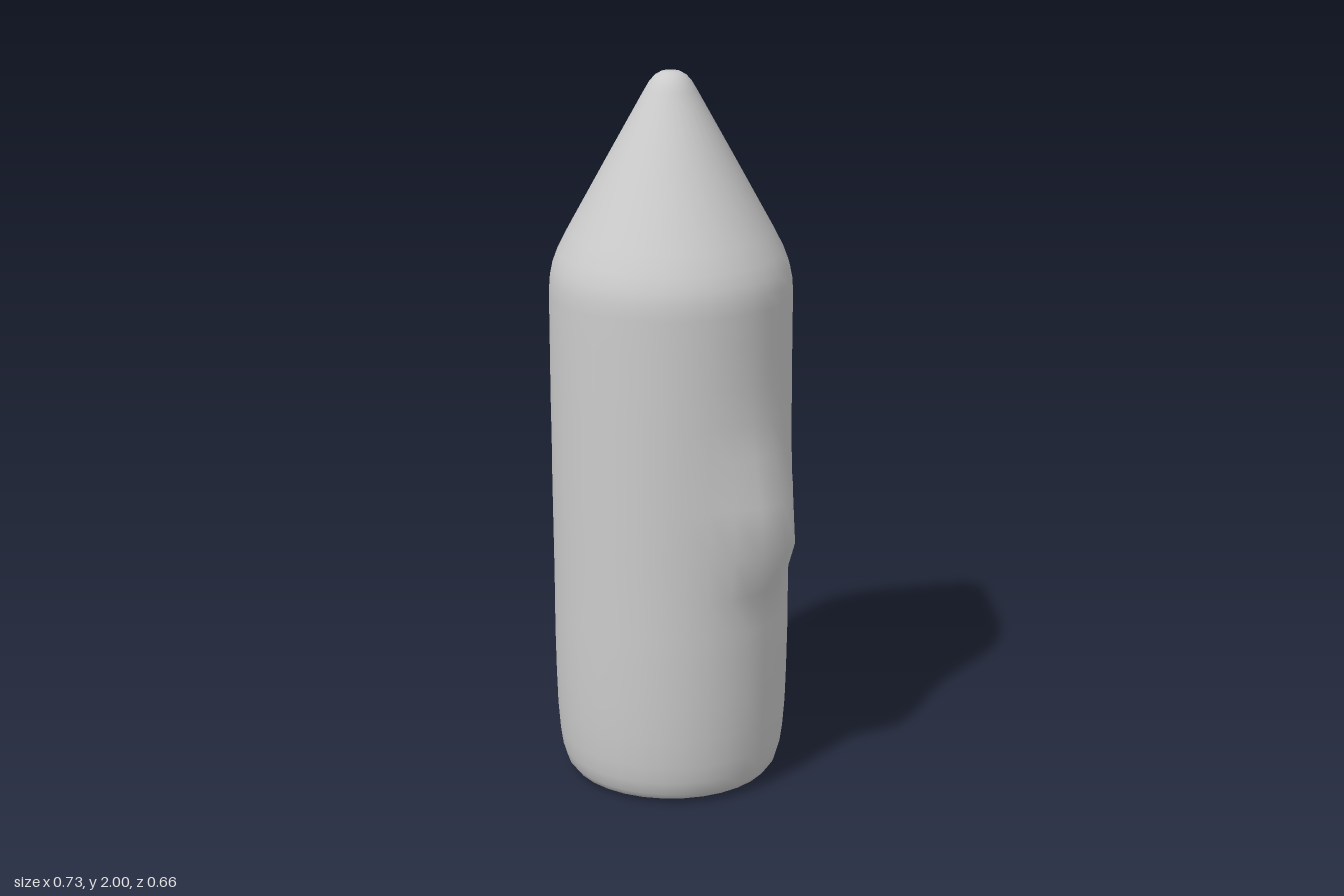
import * as THREE from 'three';
import { mergeVertices } from 'three/addons/utils/BufferGeometryUtils.js';

// Linear interpolation through a list of [input, output] pairs
function ramp(pairs, t) {
  if (t <= pairs[0][0]) return pairs[0][1];
  for (let i = 1; i < pairs.length; i++) {
    const [a, va] = pairs[i - 1], [b, vb] = pairs[i];
    if (t <= b) return va + (vb - va) * (t - a) / (b - a);
  }
  return pairs[pairs.length - 1][1];
}

export function createModel() {
  const group = new THREE.Group();
  group.name = 'pointedCapsule';

  // Profile [radius, height]: flat base, rounded rim, straight wall, shoulder, cone, blunt tip
  const profile = [
    [0, 0], [0.24, 0], [0.262, 0.003], [0.285, 0.013], [0.3, 0.033], [0.311, 0.07],
    [0.318, 0.12], [0.324, 0.2], [0.327, 0.3], [0.329, 0.42], [0.329, 0.5],
    [0.329, 0.6], [0.33, 0.73], [0.331, 0.87], [0.331, 1], [0.332, 1.1], [0.332, 1.2],
    [0.332, 1.3], [0.332, 1.4], [0.33, 1.44], [0.323, 1.475], [0.308, 1.515],
    [0.28, 1.57], [0.17, 1.77], [0.07, 1.95], [0.057, 1.972], [0.043, 1.988],
    [0.026, 1.998], [0, 2],
  ].map(([r, y]) => new THREE.Vector2(r, y));
  const body = new THREE.LatheGeometry(profile, 32, -Math.PI / 2);

  // Side bump on +x: outward push by height, fading with angle
  const bumpHeight = [[0.6, 0], [0.73, 0.068], [0.87, 0.056], [1, 0.022], [1.1, 0.007], [1.2, 0.001], [1.3, 0]];
  const bumpSpread = [[0, 1], [11.25, 0.75], [22.5, 0.31], [33.75, 0.1], [45, 0]];
  const pos = body.attributes.position;
  for (let i = 0; i < pos.count; i++) {
    const x = pos.getX(i), y = pos.getY(i), z = pos.getZ(i);
    const r = Math.hypot(x, z);
    if (r < 1e-6) {
      pos.setXYZ(i, 0, y, 0);
      continue;
    }
    const angle = Math.abs(THREE.MathUtils.radToDeg(Math.atan2(z, x)));
    const k = 1 + ramp(bumpHeight, y) * ramp(bumpSpread, angle) / r;
    pos.setXYZ(i, x * k, y, z * k);
  }

  // Weld the seam so shading is continuous
  body.deleteAttribute('uv');
  body.deleteAttribute('normal');
  const welded = mergeVertices(body, 1e-4);
  welded.computeVertexNormals();

  const mesh = new THREE.Mesh(welded, new THREE.MeshStandardMaterial({ color: 0xcccccc }));
  mesh.name = 'bodyWithSideBump';
  mesh.position.x = -0.034;
  group.add(mesh);
  return group;
}
